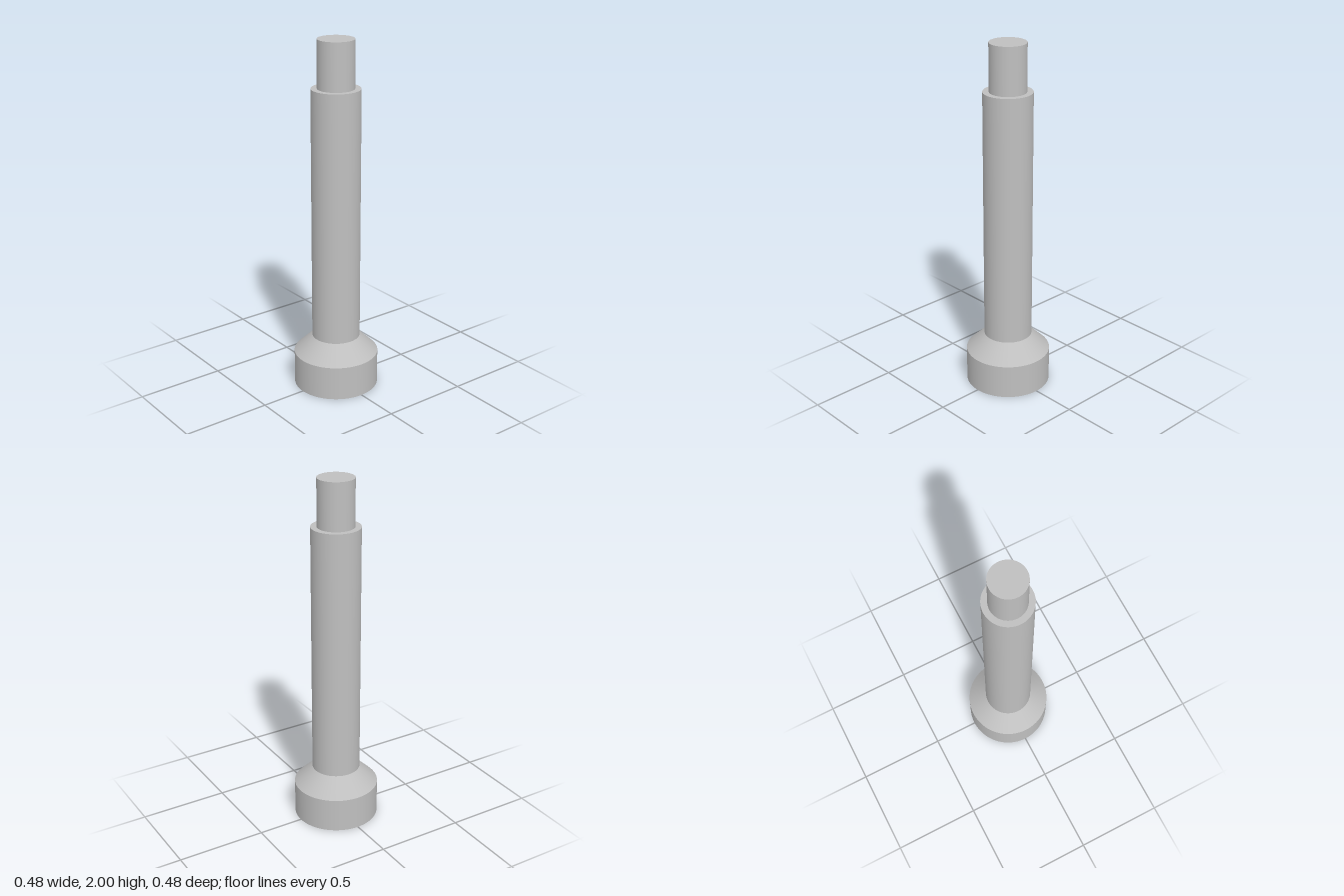
import * as THREE from 'three';

const SEG = 96;
const HEAD_R = 0.239, SHAFT_R = 0.136, TIP_R = 0.102, HEX_R = 0.077;
const HEAD_Y = 0.196, NECK_Y = 0.296, SHOULDER_Y = 1.735, TOP_Y = 2, SOCKET_Y = 0.12;

export function createModel() {
  const group = new THREE.Group();
  const steel = new THREE.MeshStandardMaterial({ color: 0xbfbfbf });

  const add = (name, geometry) => {
    const mesh = new THREE.Mesh(geometry, steel);
    mesh.name = name;
    group.add(mesh);
  };
  // Open round wall between two heights
  const wall = (name, r0, r1, y0, y1) =>
    add(name, new THREE.CylinderGeometry(r1, r0, y1 - y0, SEG, 1, true).translate(0, (y0 + y1) / 2, 0));

  // Turned body
  wall('headSide', HEAD_R, HEAD_R, 0, HEAD_Y);
  wall('headCone', HEAD_R, SHAFT_R, HEAD_Y, NECK_Y);
  wall('shaft', SHAFT_R, SHAFT_R, NECK_Y, SHOULDER_Y);
  wall('tip', TIP_R, TIP_R, SHOULDER_Y, TOP_Y);

  // Flat steps facing up
  add('shoulder', new THREE.RingGeometry(TIP_R, SHAFT_R, SEG).rotateX(-Math.PI / 2).translate(0, SHOULDER_Y, 0));
  add('tipEnd', new THREE.CircleGeometry(TIP_R, SEG).rotateX(-Math.PI / 2).translate(0, TOP_Y, 0));

  // Underside of the head with a hexagonal opening
  const hex = Array.from({ length: 6 }, (_, i) => {
    const a = (i * Math.PI) / 3;
    return new THREE.Vector2(HEX_R * Math.sin(a), HEX_R * Math.cos(a));
  });
  const face = new THREE.Shape().absarc(0, 0, HEAD_R, 0, Math.PI * 2);
  face.holes.push(new THREE.Path(hex));
  add('headFace', new THREE.ShapeGeometry(face, SEG).rotateX(Math.PI / 2));

  // Socket walls turned inward by mirroring, then the floor
  const socket = new THREE.CylinderGeometry(HEX_R, HEX_R, SOCKET_Y, 6, 1, true)
    .translate(0, SOCKET_Y / 2, 0).scale(-1, 1, 1).toNonIndexed();
  socket.computeVertexNormals();
  add('socketWalls', socket);
  add('socketFloor', new THREE.ShapeGeometry(new THREE.Shape(hex)).rotateX(Math.PI / 2).translate(0, SOCKET_Y, 0));

  return group;
}
